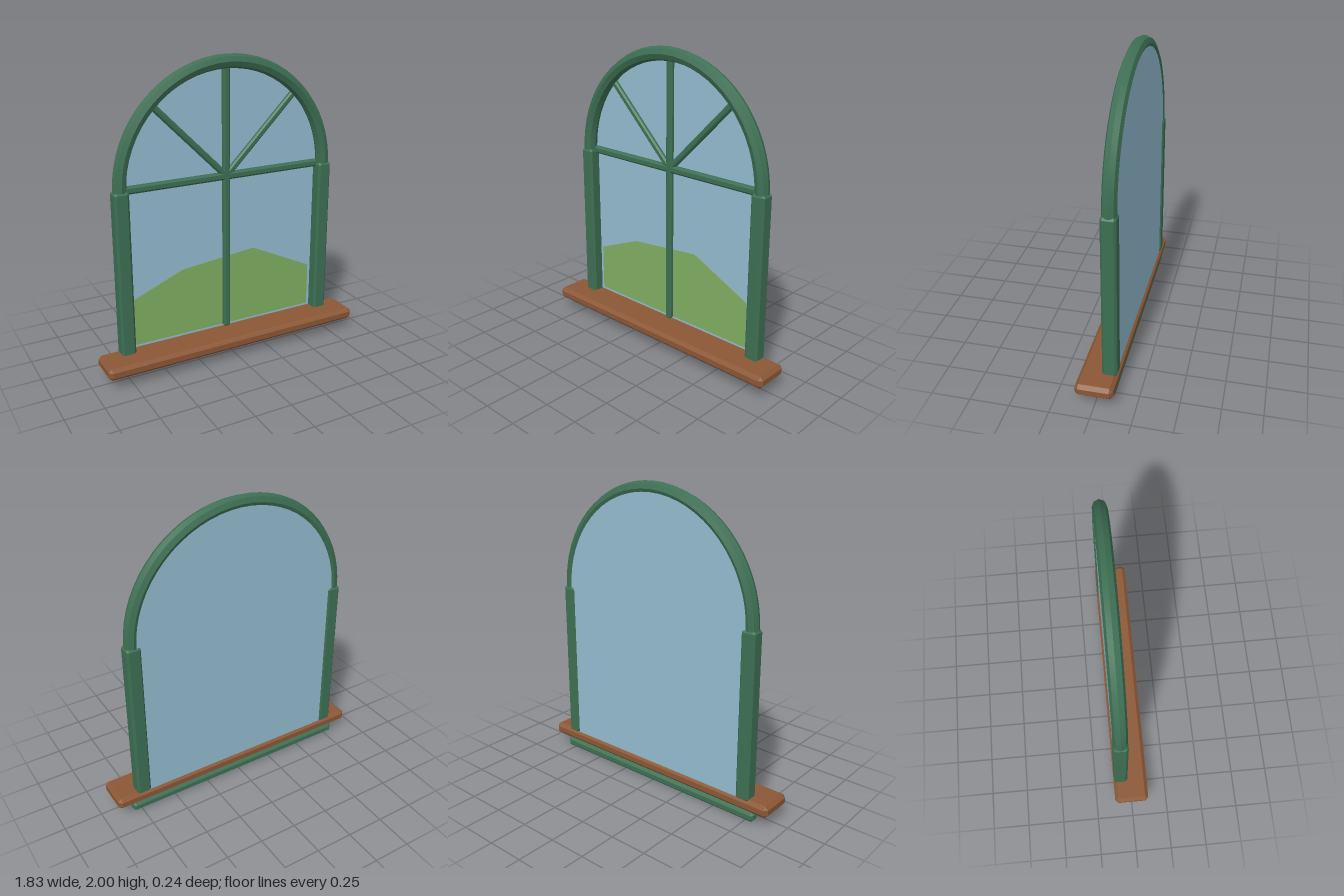
import * as THREE from 'three';
import { toCreasedNormals } from 'three/addons/utils/BufferGeometryUtils.js';
import { ConvexGeometry } from 'three/addons/geometries/ConvexGeometry.js';

const SPRING = 1.225; // height where the arch begins
const FRAME_Z = -0.067;
const MUNTIN_Z = -0.083;

function material(name, color) {
  const m = new THREE.MeshStandardMaterial({ color });
  m.name = name;
  return m;
}

// Box with every edge cut at 45 degrees
function chamferBox(w, h, d, c) {
  const points = [];
  for (const sx of [-1, 1]) for (const sy of [-1, 1]) for (const sz of [-1, 1]) {
    for (let axis = 0; axis < 3; axis++) {
      const cut = [c, c, c];
      cut[axis] = 0;
      points.push(new THREE.Vector3(
        sx * (w / 2 - cut[0]), sy * (h / 2 - cut[1]), sz * (d / 2 - cut[2])));
    }
  }
  return new ConvexGeometry(points);
}

export function createModel() {
  const group = new THREE.Group();
  group.name = 'archedWindow';
  const green = material('greenPaint', 0x3d6f53);
  const wood = material('brownWood', 0x8b5735);
  const sky = material('paleBlueGlass', 0x93bbd0);
  const grass = material('grassGreen', 0x7fae62);

  function add(name, geometry, mat, x = 0, y = 0, z = 0) {
    const mesh = new THREE.Mesh(geometry, mat);
    mesh.name = name;
    mesh.position.set(x, y, z);
    group.add(mesh);
    return mesh;
  }

  // Sill and the apron rail beneath it
  add('sill', chamferBox(1.83, 0.08, 0.236, 0.022), wood, 0, 0.114, 0);
  add('apron', chamferBox(1.62, 0.066, 0.066, 0.018), green, 0, 0.033, -0.071);

  // Upright jambs
  for (const side of [-1, 1]) {
    add(side > 0 ? 'leftJamb' : 'rightJamb',
      chamferBox(0.096, 1.09, 0.094, 0.014), green, side * 0.729, 0.685, FRAME_Z);
  }

  // Eight-sided half ring on top
  const ring = new THREE.TorusGeometry(0.73, 0.045, 8, 32, Math.PI);
  add('arch', toCreasedNormals(ring, 0.5), green, 0, SPRING, FRAME_Z);

  // Glass pane reaching into the frame
  const pane = new THREE.Shape();
  pane.moveTo(-0.72, 0.14);
  pane.lineTo(0.72, 0.14);
  pane.lineTo(0.72, SPRING);
  pane.absarc(0, SPRING, 0.72, 0, Math.PI, false);
  pane.closePath();
  add('glass', new THREE.ExtrudeGeometry(pane,
    { depth: 0.01, bevelEnabled: false, curveSegments: 32 }), sky, 0, 0, -0.104);

  // Thin hill in front of the glass
  const hill = new THREE.Shape([[-0.66, 0.17], [0.66, 0.17], [0.66, 0.47],
    [0.21, 0.685], [-0.32, 0.63], [-0.66, 0.49]].map(([x, y]) => new THREE.Vector2(x, y)));
  add('hill', new THREE.ExtrudeGeometry(hill, { depth: 0.004, bevelEnabled: false }),
    grass, 0, 0, -0.095);

  // Glazing bars: one upright, one cross bar and two rays
  const bar = 0.04;
  add('uprightBar', chamferBox(0.05, 1.77, bar, 0.012), green, 0, 1.04, MUNTIN_Z);
  add('crossBar', chamferBox(1.4, 0.05, bar, 0.012), green, 0, SPRING, MUNTIN_Z);
  for (const side of [-1, 1]) {
    const ray = add(side > 0 ? 'leftRayBar' : 'rightRayBar',
      chamferBox(0.7, 0.042, bar - 0.004, 0.01), green,
      side * 0.35 * Math.SQRT1_2, SPRING + 0.35 * Math.SQRT1_2, MUNTIN_Z);
    ray.rotation.z = side * Math.PI / 4;
  }

  return group;
}
